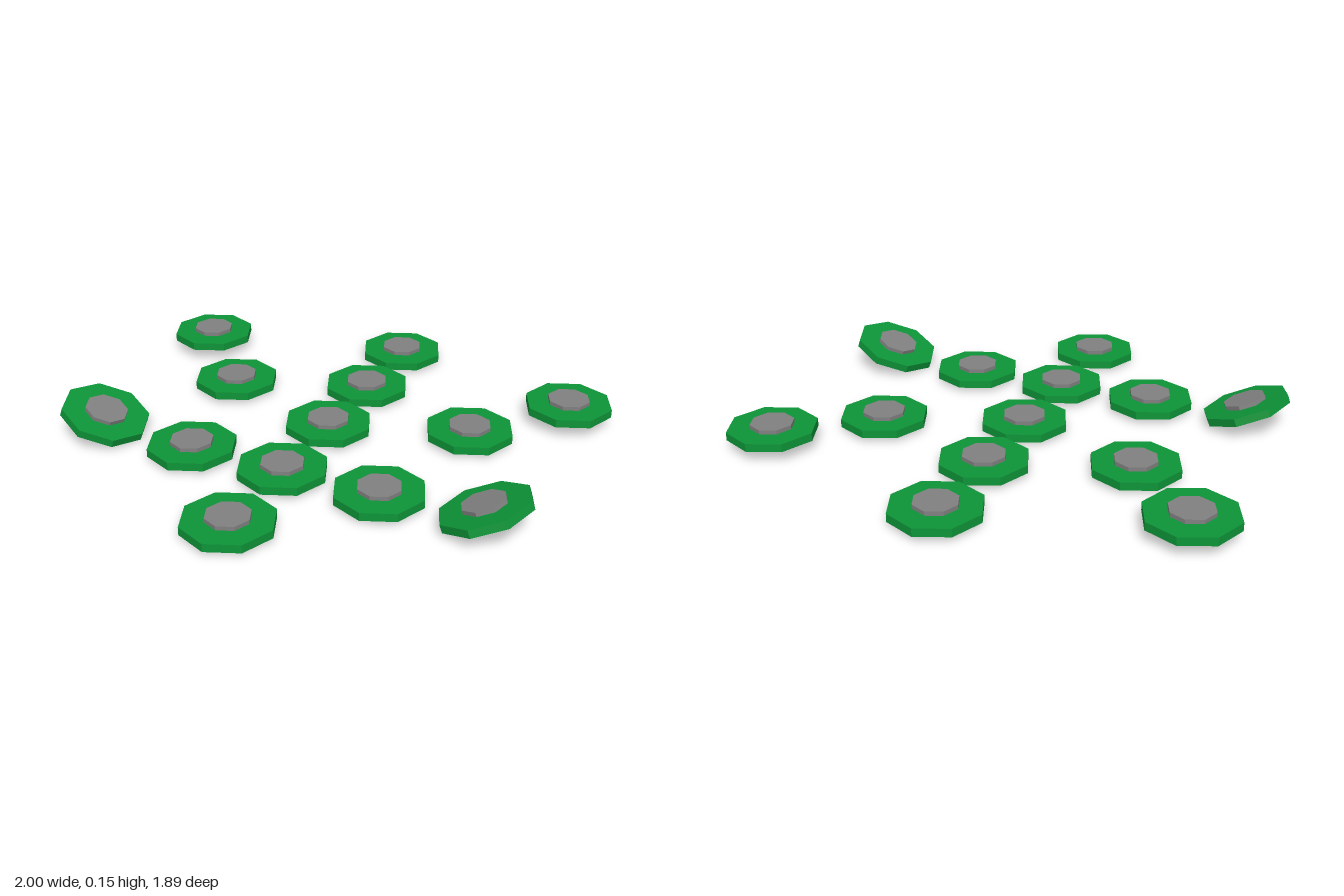
import * as THREE from 'three';

const green = new THREE.MeshStandardMaterial({ name: 'green', color: 0x0d9437, flatShading: true });
const grey = new THREE.MeshStandardMaterial({ name: 'grey', color: 0x808080, flatShading: true });

const T = 0.032; // plate thickness
const plateGeometry = new THREE.CylinderGeometry(0.175, 0.175, T, 8);
const capGeometry = new THREE.CylinderGeometry(0.085, 0.085, 0.016, 8);

// One octagonal pad: green plate with a smaller grey cap on top
function makePad(name, x, y, z, tilt = 0) {
  const pad = new THREE.Group();
  pad.name = name;
  const plate = new THREE.Mesh(plateGeometry, green);
  plate.name = 'plate';
  const cap = new THREE.Mesh(capGeometry, grey);
  cap.name = 'cap';
  cap.position.y = T / 2 + 0.008;
  pad.add(plate, cap);
  pad.position.set(x, y, z);
  pad.rotation.z = tilt;
  return pad;
}

export function createModel() {
  const model = new THREE.Group();
  model.name = 'padArrangement';

  // Centre row, back to front
  [-0.772, -0.39, -0.018, 0.37, 0.768].forEach((z, i) => {
    model.add(makePad(`centrePad${i + 1}`, 0, 0.032, z));
  });

  // Mirrored side pads
  for (const [side, s] of [['left', 1], ['right', -1]]) {
    model.add(
      makePad(`${side}InnerPad`, s * 0.39, 0.032, 0.37),
      makePad(`${side}TiltedPad`, s * 0.787, 0.075, 0.37, s * THREE.MathUtils.degToRad(20)),
      makePad(`${side}BackPad`, s * 0.523, 0.032, -0.205),
      makePad(`${side}RaisedBackPad`, s * 0.825, 0.062, -0.528),
    );
  }
  return model;
}
